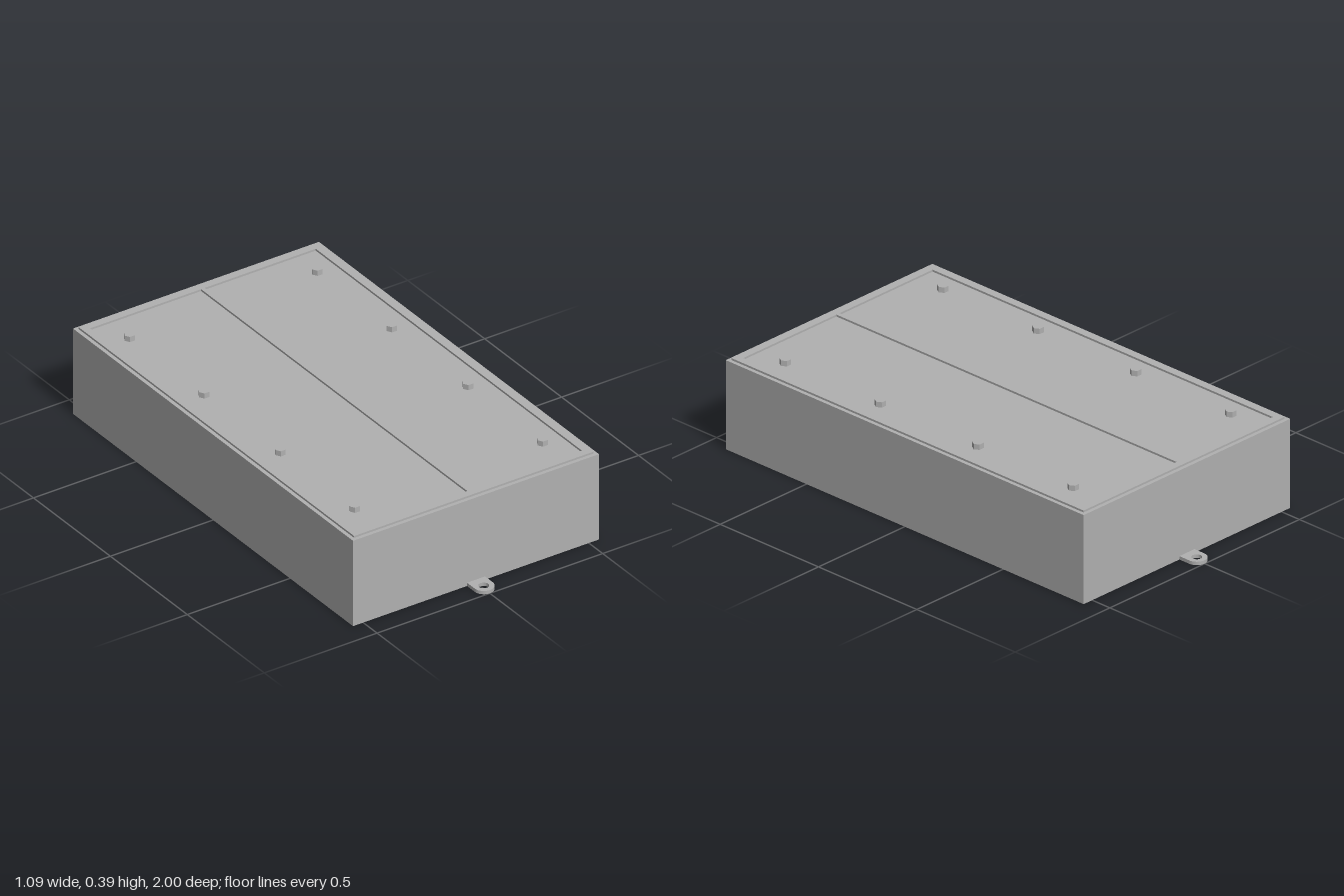
import * as THREE from 'three';

const metal = new THREE.MeshStandardMaterial({ color: 0xb0b0b0 });
metal.name = 'grey metal';

const BOX_W = 1.09, BOX_L = 1.82, BOX_H = 0.365, LID_H = 0.008;

function add(parent, name, geometry, x = 0, y = 0, z = 0) {
  const mesh = new THREE.Mesh(geometry, metal);
  mesh.name = name;
  mesh.position.set(x, y, z);
  parent.add(mesh);
  return mesh;
}

function rectangle(target, w, l) {
  target.moveTo(-w / 2, -l / 2);
  target.lineTo(w / 2, -l / 2);
  target.lineTo(w / 2, l / 2);
  target.lineTo(-w / 2, l / 2);
  target.closePath();
  return target;
}

// Extrudes a plan shape upwards; shape y becomes -z
function extrudeUp(shape, height) {
  const geometry = new THREE.ExtrudeGeometry(shape, { depth: height, bevelEnabled: false, curveSegments: 16 });
  return geometry.rotateX(-Math.PI / 2);
}

// Mounting tab with a rounded end and a screw hole
function tabGeometry() {
  const r = 0.04, centre = 0.96;
  const shape = new THREE.Shape();
  shape.moveTo(-r, BOX_L / 2);
  shape.lineTo(r, BOX_L / 2);
  shape.lineTo(r, centre);
  shape.absarc(0, centre, r, 0, Math.PI, false);
  shape.closePath();
  const hole = new THREE.Path();
  hole.absarc(0, centre, 0.02, 0, Math.PI * 2, true);
  shape.holes.push(hole);
  return extrudeUp(shape, 0.014);
}

export function createModel() {
  const model = new THREE.Group();
  model.name = 'enclosure';

  // Main housing
  add(model, 'housing', new THREE.BoxGeometry(BOX_W, BOX_H, BOX_L), 0, BOX_H / 2, 0);

  // Raised lid border around the recessed panels
  const border = rectangle(new THREE.Shape(), 1.06, 1.79);
  border.holes.push(rectangle(new THREE.Path(), 1.0, 1.73));
  add(model, 'lidBorder', extrudeUp(border, LID_H), 0, BOX_H, 0);

  // Rib between the two lid panels
  add(model, 'centreRib', new THREE.BoxGeometry(0.016, LID_H, 1.73), 0, BOX_H + LID_H / 2, 0);

  // Hexagonal lid bolts, corners pointing along x
  const bolt = new THREE.CylinderGeometry(0.022, 0.022, 0.022, 6).toNonIndexed();
  bolt.rotateY(Math.PI / 2);
  bolt.computeVertexNormals();
  for (const x of [-0.416, 0.416]) {
    for (const z of [-0.732, -0.248, 0.248, 0.732]) add(model, 'lidBolt', bolt, x, BOX_H + 0.011, z);
  }

  // Mounting tabs at the front and back
  const tab = tabGeometry();
  add(model, 'backTab', tab);
  add(model, 'frontTab', tab).rotation.y = Math.PI;

  return model;
}
